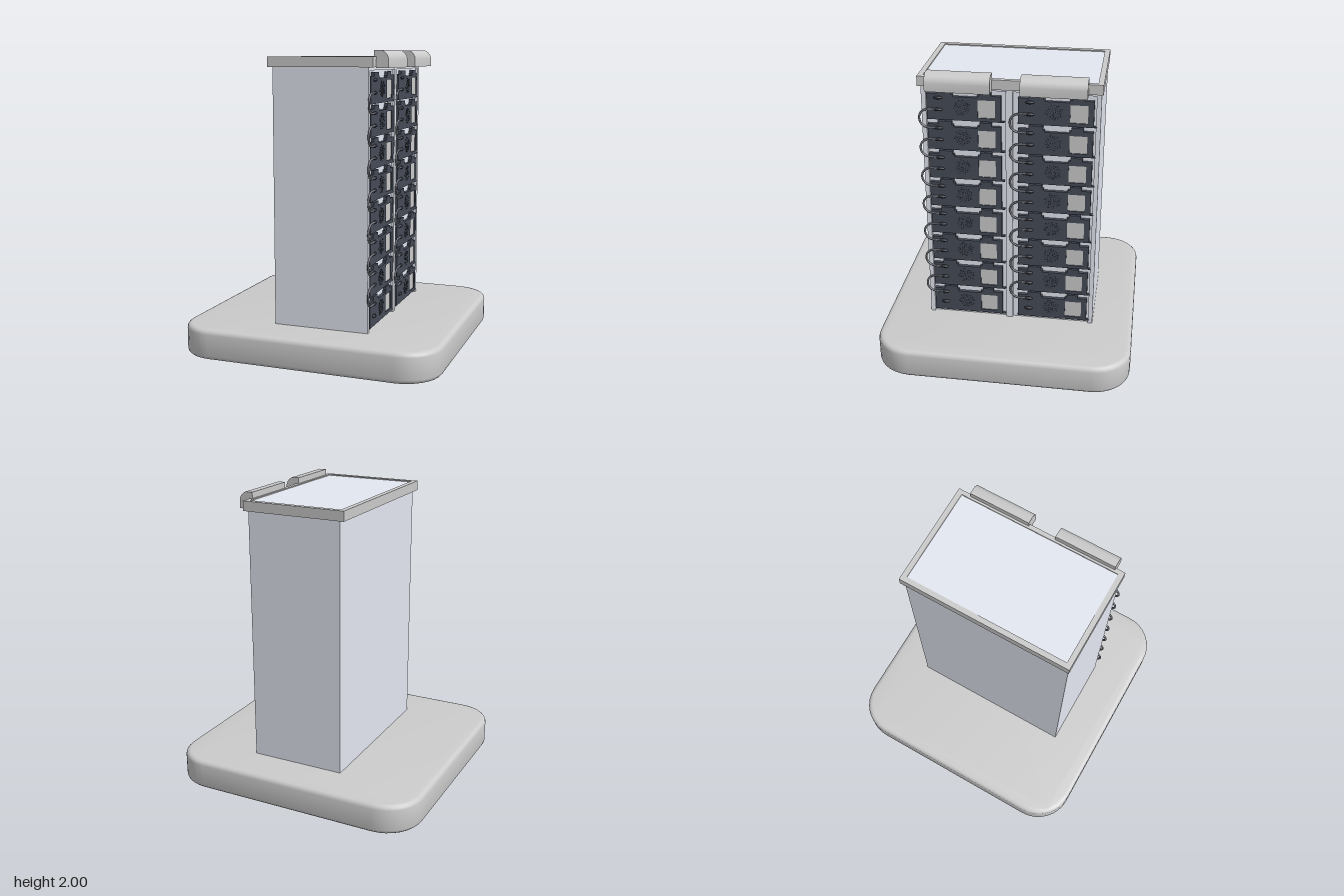
import * as THREE from 'three';
import { mergeGeometries, toCreasedNormals } from 'three/addons/utils/BufferGeometryUtils.js';

const mat = (color) => new THREE.MeshStandardMaterial({ color });
const grey = mat(0xcccccc);
const shell = mat(0xe4e8f2);
const dark = mat(0x454b58);
const black = mat(0x2c2f36);
const cableGrey = mat(0x747881);

function add(parent, name, geometry, material) {
  const mesh = new THREE.Mesh(geometry, material);
  mesh.name = name;
  parent.add(mesh);
  return mesh;
}

// Box given by its min and max along each axis
function span(x0, x1, y0, y1, z0, z1) {
  return new THREE.BoxGeometry(x1 - x0, y1 - y0, z1 - z0)
    .translate((x0 + x1) / 2, (y0 + y1) / 2, (z0 + z1) / 2);
}

// Rounded slab with softened upper and lower edges
function baseGeometry() {
  const b = 0.03, w = 0.88 - b, d = 0.86 - b, r = 0.22;
  const s = new THREE.Shape();
  s.absarc(w - r, d - r, r, 0, Math.PI / 2);
  s.absarc(r - w, d - r, r, Math.PI / 2, Math.PI);
  s.absarc(r - w, r - d, r, Math.PI, Math.PI * 1.5);
  s.absarc(w - r, r - d, r, Math.PI * 1.5, Math.PI * 2);
  const geo = new THREE.ExtrudeGeometry(s, {
    depth: 0.2 - 2 * b, bevelThickness: b, bevelSize: b, bevelSegments: 3, curveSegments: 4,
  });
  geo.rotateX(-Math.PI / 2).translate(0, b, 0);
  return toCreasedNormals(geo, 0.7);
}

// Hood with a curved outer face, running along z
function hoodGeometry(z0, z1) {
  const s = new THREE.Shape();
  s.moveTo(0.40, 1.89);
  s.lineTo(0.48, 1.89);
  s.lineTo(0.48, 1.945);
  s.quadraticCurveTo(0.472, 1.985, 0.435, 2.0);
  s.lineTo(0.385, 2.0);
  s.lineTo(0.385, 1.96);
  s.lineTo(0.40, 1.96);
  const geo = new THREE.ExtrudeGeometry(s, { depth: z1 - z0, bevelEnabled: false, curveSegments: 6 });
  return toCreasedNormals(geo.translate(0, 0, z0), 0.6);
}

// Notched plate with a window; outline runs in (-z, y), thickness along +x
function plateGeometry() {
  const outline = [
    [-0.525, -0.085], [-0.048, -0.085], [-0.048, 0.085], [-0.11, 0.085], [-0.11, 0.108],
    [-0.186, 0.108], [-0.186, 0.085], [-0.20, 0.085], [-0.20, 0.07], [-0.355, 0.07],
    [-0.355, 0.085], [-0.367, 0.085], [-0.367, 0.108], [-0.457, 0.108], [-0.457, 0.085], [-0.525, 0.085],
  ];
  const s = new THREE.Shape(outline.map(([u, v]) => new THREE.Vector2(u, v)));
  const hole = [[-0.197, -0.065], [-0.197, 0.055], [-0.085, 0.055], [-0.085, -0.065]];
  s.holes.push(new THREE.Path(hole.map(([u, v]) => new THREE.Vector2(u, v))));
  return new THREE.ExtrudeGeometry(s, { depth: 0.022, bevelEnabled: false })
    .rotateY(Math.PI / 2).translate(0.35, 0, 0);
}

// Round grille made of small raised studs in a spiral
function grilleGeometry() {
  const parts = [];
  for (let i = 1; i <= 44; i++) {
    const r = 0.054 * Math.sqrt(i / 44), a = i * 2.4;
    parts.push(new THREE.BoxGeometry(0.003, 0.006, 0.006).rotateX(a)
      .translate(0.3725, Math.cos(a) * r, 0.30 + Math.sin(a) * r));
  }
  return mergeGeometries(parts);
}

// Flattened oval plug, long along z
function plugGeometry(y) {
  return new THREE.SphereGeometry(1, 12, 8).scale(0.015, 0.011, 0.029).translate(0.374, y, 0.451);
}

// Cable looping from the lower plug to the upper plug of the next row
function cableGeometry() {
  const pts = [[-0.02, 0.44], [-0.02, 0.51]];
  for (let i = 1; i <= 7; i++) {
    const a = (i / 8) * Math.PI;
    pts.push([-0.083 + 0.063 * Math.cos(a), 0.515 + 0.062 * Math.sin(a)]);
  }
  pts.push([-0.146, 0.51], [-0.146, 0.44]);
  const curve = new THREE.CatmullRomCurve3(pts.map(([y, z]) => new THREE.Vector3(0.376, y, z)));
  return new THREE.TubeGeometry(curve, 28, 0.007, 7);
}

export function createModel() {
  const model = new THREE.Group();
  model.name = 'equipmentCabinet';

  add(model, 'base', baseGeometry(), grey);

  // Cabinet with a shallow recess on its +x face
  const cabinet = new THREE.Group();
  cabinet.name = 'cabinet';
  model.add(cabinet);
  add(cabinet, 'body', span(-0.28, 0.35, 0.2, 1.9, -0.58, 0.56), shell);
  add(cabinet, 'frontWallEdge', span(0.35, 0.368, 0.2, 1.9, 0.53, 0.56), shell);
  add(cabinet, 'backWallEdge', span(0.35, 0.368, 0.2, 1.9, -0.58, -0.55), shell);
  add(cabinet, 'topWallEdge', span(0.35, 0.368, 1.875, 1.9, -0.55, 0.53), shell);
  add(cabinet, 'divider', span(0.35, 0.37, 0.2, 1.875, -0.025, 0.02), shell);

  // Lid: raised rim around a light panel
  const lid = new THREE.Group();
  lid.name = 'lid';
  model.add(lid);
  add(lid, 'lidPanel', span(-0.275, 0.37, 1.9, 1.953, -0.555, 0.54), shell);
  add(lid, 'rimFront', span(-0.31, 0.4, 1.895, 1.96, 0.54, 0.575), grey);
  add(lid, 'rimBack', span(-0.31, 0.4, 1.895, 1.96, -0.59, -0.555), grey);
  add(lid, 'rimRight', span(-0.31, -0.275, 1.895, 1.96, -0.555, 0.54), grey);
  add(lid, 'rimLeft', span(0.37, 0.4, 1.895, 1.96, -0.555, 0.54), grey);

  // Hoods with thin end flanges
  for (const [z0, z1] of [[0.1, 0.51], [-0.5, -0.085]]) {
    add(model, 'hood', hoodGeometry(z0, z1), grey);
  }

  // Two columns of eight identical modules
  const plate = plateGeometry();
  const grille = grilleGeometry();
  const plugs = mergeGeometries([plugGeometry(0.06), plugGeometry(-0.02)]);
  const cable = cableGeometry();
  const windowPane = span(0.35, 0.366, -0.065, 0.055, 0.085, 0.197);
  const shelf = span(0.35, 0.37, -0.09, -0.083, 0.027, 0.528);
  for (let column = 0; column < 2; column++) {
    for (let row = 0; row < 8; row++) {
      const unit = new THREE.Group();
      unit.name = 'module';
      unit.position.set(0, 1.755 - row * 0.2064, -0.585 * column);
      add(unit, 'modulePlate', plate, dark);
      add(unit, 'modulePane', windowPane, grey);
      add(unit, 'moduleShelf', shelf, dark);
      add(unit, 'fanGrille', grille, black);
      add(unit, 'plugs', plugs, black);
      if (row < 7) add(unit, 'cable', cable, cableGrey);
      model.add(unit);
    }
  }
  return model;
}
